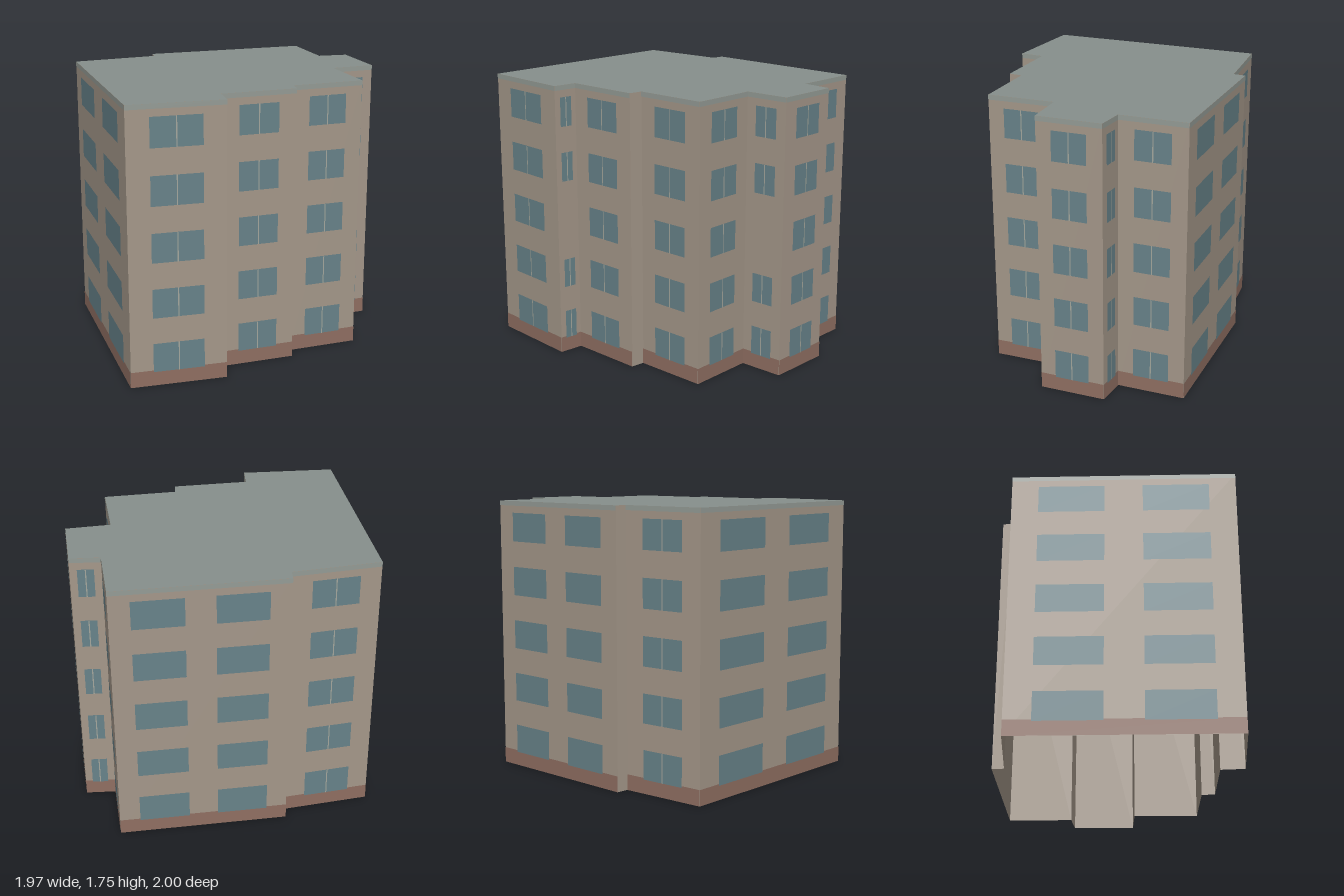
import * as THREE from 'three';
import { mergeGeometries } from 'three/addons/utils/BufferGeometryUtils.js';

const HEIGHT = 1.75;
const PLINTH = 0.1;
const CORNICE = 1.72;
const FLOORS = 5;
const PITCH = 0.35;

// Footprint corners [x, z] and the type of the wall leading to the next corner
const FOOTPRINT = [
  [-0.985, -0.33, 'double'], [-0.48, -0.56, 'plain'], [-0.5, -0.635, 'pair'],
  [0.505, -1, 'double'], [0.655, -0.6, 'double'], [0.84, -0.65, 'double'],
  [0.985, -0.265, 'gap'], [0.725, -0.155, 'double'], [0.88, 0.245, 'double'],
  [0.45, 0.415, 'plain'], [0.47, 0.5, 'double'], [0.02, 0.67, 'gap'],
  [0.06, 0.82, 'double'], [-0.515, 0.995, 'pair'],
];

// Upright rectangle on the wall p-q, between fractions u0..u1 of its length
function panel(p, q, u0, u1, y0, y1, offset) {
  const dx = q[0] - p[0], dz = q[1] - p[1], len = Math.hypot(dx, dz);
  const nx = dz / len, nz = -dx / len, u = (u0 + u1) / 2;
  return new THREE.PlaneGeometry(len * (u1 - u0), y1 - y0)
    .rotateY(Math.atan2(nx, nz))
    .translate(p[0] + dx * u + nx * offset, (y0 + y1) / 2, p[1] + dz * u + nz * offset);
}

export function createModel() {
  const group = new THREE.Group();
  const walls = [], plinth = [], cornice = [], glass = [], mullions = [];

  FOOTPRINT.forEach((p, i) => {
    const q = FOOTPRINT[(i + 1) % FOOTPRINT.length], type = p[2];
    walls.push(panel(p, q, 0, 1, 0, HEIGHT, 0));
    if (type === 'plain') return;
    plinth.push(panel(p, q, 0, 1, 0, PLINTH, 0.002));
    cornice.push(panel(p, q, 0, 1, CORNICE, HEIGHT, 0.002));

    const len = Math.hypot(q[0] - p[0], q[1] - p[1]);
    const spans = type === 'pair' ? [[0.12, 0.415], [0.585, 0.88]] : [[0.235, 0.765]];
    for (let f = 0; f < FLOORS; f++) {
      // Narrow side walls have no window on the middle floor
      if (type === 'gap' && f === 2) continue;
      const y0 = 0.09 + f * PITCH, y1 = y0 + 0.185;
      for (const [u0, u1] of spans) glass.push(panel(p, q, u0, u1, y0, y1, 0.004));
      if (type !== 'pair') {
        const half = 0.0035 / len;
        mullions.push(panel(p, q, 0.5 - half, 0.5 + half, y0, y1, 0.006));
      }
    }
  });

  const add = (name, geometry, color, side = THREE.FrontSide) => {
    const mesh = new THREE.Mesh(geometry, new THREE.MeshStandardMaterial({ color, side }));
    mesh.name = name;
    group.add(mesh);
  };

  // Open-bottomed shell with a flat roof
  const outline = new THREE.Shape(FOOTPRINT.map(([x, z]) => new THREE.Vector2(x, -z)));
  const roof = new THREE.ShapeGeometry(outline).rotateX(-Math.PI / 2).translate(0, HEIGHT, 0);
  add('walls', mergeGeometries(walls), 0xa5988a, THREE.DoubleSide);
  add('roof', roof, 0x87908c, THREE.DoubleSide);

  // Bands and windows laid on the outer faces
  add('plinth', mergeGeometries(plinth), 0x906f62);
  add('cornice', mergeGeometries(cornice), 0x959c96);
  add('windows', mergeGeometries(glass), 0x68838a);
  add('windowMullions', mergeGeometries(mullions), 0xa5a89e);
  return group;
}
